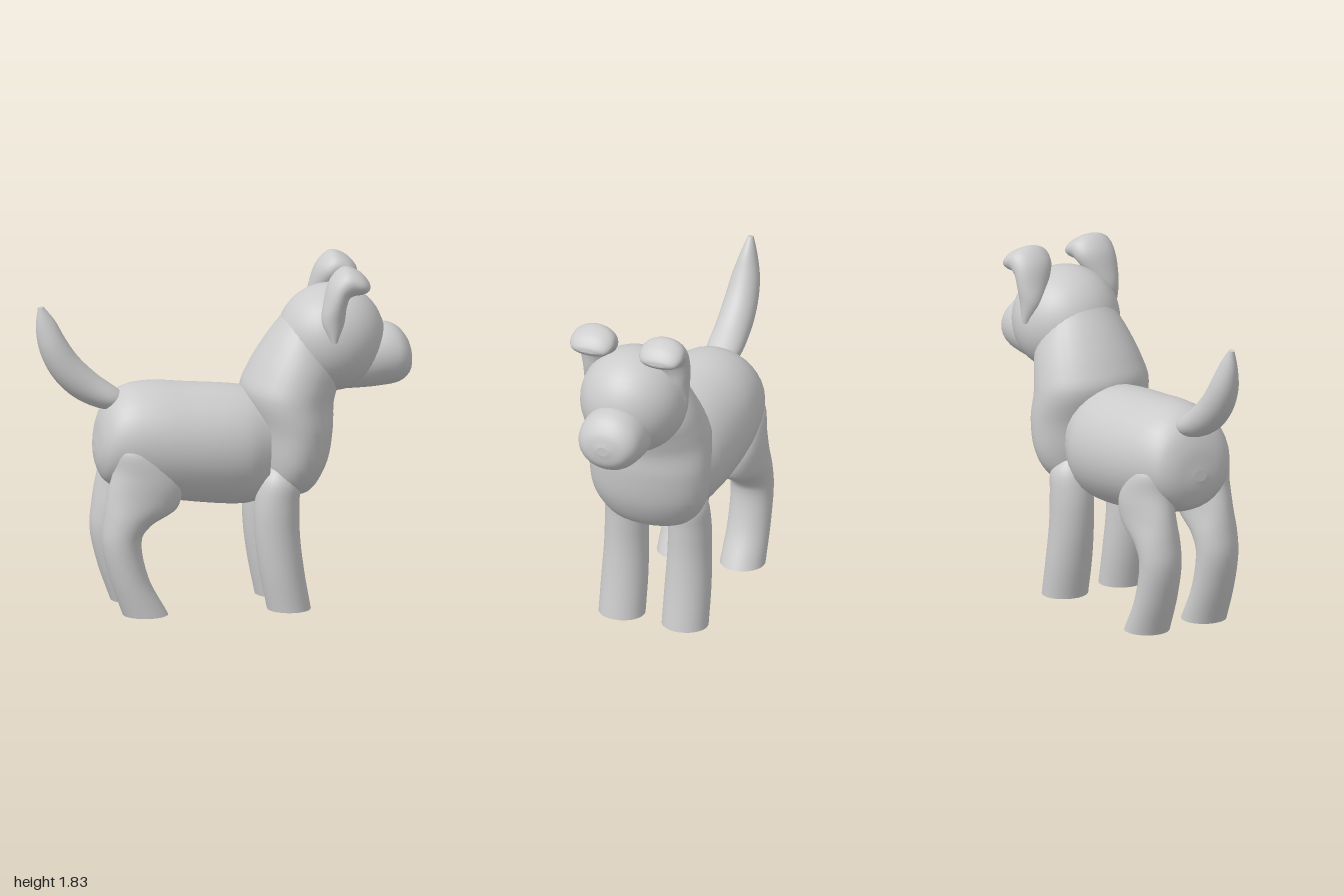
import * as THREE from 'three';

const material = new THREE.MeshStandardMaterial({ color: 0xcccccc });

// Smooth loft through oval rings. Each ring is [x1, y1, x2, y2, halfWidth, z]:
// two opposite edge points (edge 1 on the left of travel), half width in z, centre z.
function loft(name, rings, side = 1, perRing = 5, around = 32) {
  const edge1 = new THREE.CatmullRomCurve3(rings.map(r => new THREE.Vector3(r[0], r[1], r[4])));
  const edge2 = new THREE.CatmullRomCurve3(rings.map(r => new THREE.Vector3(r[2], r[3], r[5] ?? 0)));
  const steps = (rings.length - 1) * perRing;
  const pos = [], index = [];
  const ring = i => {
    const a = edge1.getPoint(i / steps), b = edge2.getPoint(i / steps);
    const cx = (a.x + b.x) / 2, cy = (a.y + b.y) / 2;
    for (let j = 0; j < around; j++) {
      const t = j / around * Math.PI * 2, c = Math.cos(t);
      pos.push(cx + c * (a.x - cx), cy + c * (a.y - cy), side * b.z + Math.sin(t) * a.z);
    }
    return [cx, cy, side * b.z];
  };
  for (let i = 0; i <= steps; i++) {
    ring(i);
    if (i === steps) break;
    for (let j = 0; j < around; j++) {
      const k = (j + 1) % around, p = i * around, q = p + around;
      index.push(p + j, p + k, q + j, p + k, q + k, q + j);
    }
  }
  // End caps with their own vertices, so flat feet keep a crisp rim
  for (const end of [0, steps]) {
    const start = pos.length / 3;
    pos.push(...ring(end));
    for (let j = 0; j < around; j++) {
      const p = start + j, q = start + (j + 1) % around, c = start + around;
      if (end) index.push(c, p, q); else index.push(c, q, p);
    }
  }
  const geometry = new THREE.BufferGeometry();
  geometry.setAttribute('position', new THREE.Float32BufferAttribute(pos, 3));
  geometry.setIndex(index);
  geometry.computeVertexNormals();
  const mesh = new THREE.Mesh(geometry, material);
  mesh.name = name;
  return mesh;
}

export function createModel() {
  const dog = new THREE.Group();
  dog.name = 'dog';

  // Barrel of the body, rump to shoulders
  dog.add(loft('body', [
    [-0.685, 0.9, -0.69, 0.84, 0.04],
    [-0.66, 1.03, -0.68, 0.77, 0.15],
    [-0.61, 1.13, -0.64, 0.69, 0.225],
    [-0.53, 1.19, -0.54, 0.64, 0.27],
    [-0.4, 1.21, -0.4, 0.6, 0.3],
    [-0.2, 1.195, -0.2, 0.565, 0.315],
    [0.08, 1.17, 0.1, 0.54, 0.3],
    [0.22, 1.14, 0.2, 0.56, 0.25],
  ]));

  // Chest rising into the neck
  dog.add(loft('chestAndNeck', [
    [0.33, 0.59, 0.41, 0.59, 0.08],
    [0.25, 0.615, 0.46, 0.62, 0.2],
    [0.19, 0.68, 0.51, 0.69, 0.275],
    [0.17, 0.78, 0.55, 0.79, 0.32],
    [0.15, 0.95, 0.575, 0.95, 0.335],
    [0.09, 1.15, 0.58, 1.07, 0.325],
    [0.13, 1.26, 0.6, 1.15, 0.305],
    [0.22, 1.41, 0.62, 1.22, 0.27],
    [0.31, 1.53, 0.6, 1.3, 0.22],
  ]));

  // Head
  const head = new THREE.Mesh(new THREE.SphereGeometry(0.285, 40, 28), material);
  head.name = 'head';
  head.position.set(0.57, 1.412, 0);
  dog.add(head);

  // Muzzle
  dog.add(loft('muzzle', [
    [0.62, 1.46, 0.6, 1.13, 0.16],
    [0.85, 1.48, 0.82, 1.14, 0.18],
    [0.92, 1.455, 0.93, 1.16, 0.167],
    [0.975, 1.39, 0.982, 1.205, 0.12],
    [0.998, 1.32, 0.998, 1.27, 0.035],
  ]));

  // Raised tail
  dog.add(loft('tail', [
    [-0.55, 1.09, -0.53, 1.15, 0.05],
    [-0.62, 1.07, -0.56, 1.175, 0.09],
    [-0.78, 1.13, -0.68, 1.265, 0.095],
    [-0.9, 1.24, -0.78, 1.365, 0.09],
    [-0.975, 1.38, -0.85, 1.47, 0.075],
    [-1, 1.52, -0.9, 1.56, 0.045],
    [-0.99, 1.63, -0.96, 1.635, 0.015],
  ]));

  // Paired parts
  for (const side of [1, -1]) {
    dog.add(loft('frontLeg', [
      [0.2, 0, 0.43, 0, 0.125, 0.18],
      [0.16, 0.2, 0.395, 0.2, 0.124, 0.18],
      [0.135, 0.4, 0.372, 0.4, 0.117, 0.18],
      [0.135, 0.57, 0.37, 0.57, 0.113, 0.18],
      [0.165, 0.7, 0.37, 0.68, 0.1, 0.18],
      [0.23, 0.78, 0.31, 0.77, 0.04, 0.18],
    ], side));

    dog.add(loft('hindLeg', [
      [-0.57, 0, -0.33, 0, 0.12, 0.18],
      [-0.64, 0.2, -0.435, 0.2, 0.115, 0.18],
      [-0.68, 0.39, -0.47, 0.41, 0.115, 0.18],
      [-0.67, 0.53, -0.42, 0.48, 0.118, 0.18],
      [-0.65, 0.66, -0.28, 0.57, 0.12, 0.18],
      [-0.62, 0.78, -0.26, 0.69, 0.12, 0.18],
      [-0.61, 0.89, -0.37, 0.86, 0.1, 0.18],
      [-0.56, 0.94, -0.46, 0.93, 0.04, 0.18],
    ], side));

    // Ear with its tip folded forward
    dog.add(loft('ear', [
      [0.52, 1.44, 0.56, 1.44, 0.03, 0.265],
      [0.48, 1.55, 0.6, 1.54, 0.06, 0.24],
      [0.495, 1.65, 0.615, 1.62, 0.09, 0.22],
      [0.535, 1.765, 0.635, 1.665, 0.113, 0.2],
      [0.61, 1.828, 0.66, 1.675, 0.12, 0.197],
      [0.69, 1.8, 0.69, 1.68, 0.118, 0.197],
      [0.735, 1.75, 0.715, 1.69, 0.09, 0.197],
      [0.742, 1.72, 0.738, 1.71, 0.03, 0.197],
    ], side));
  }
  return dog;
}
